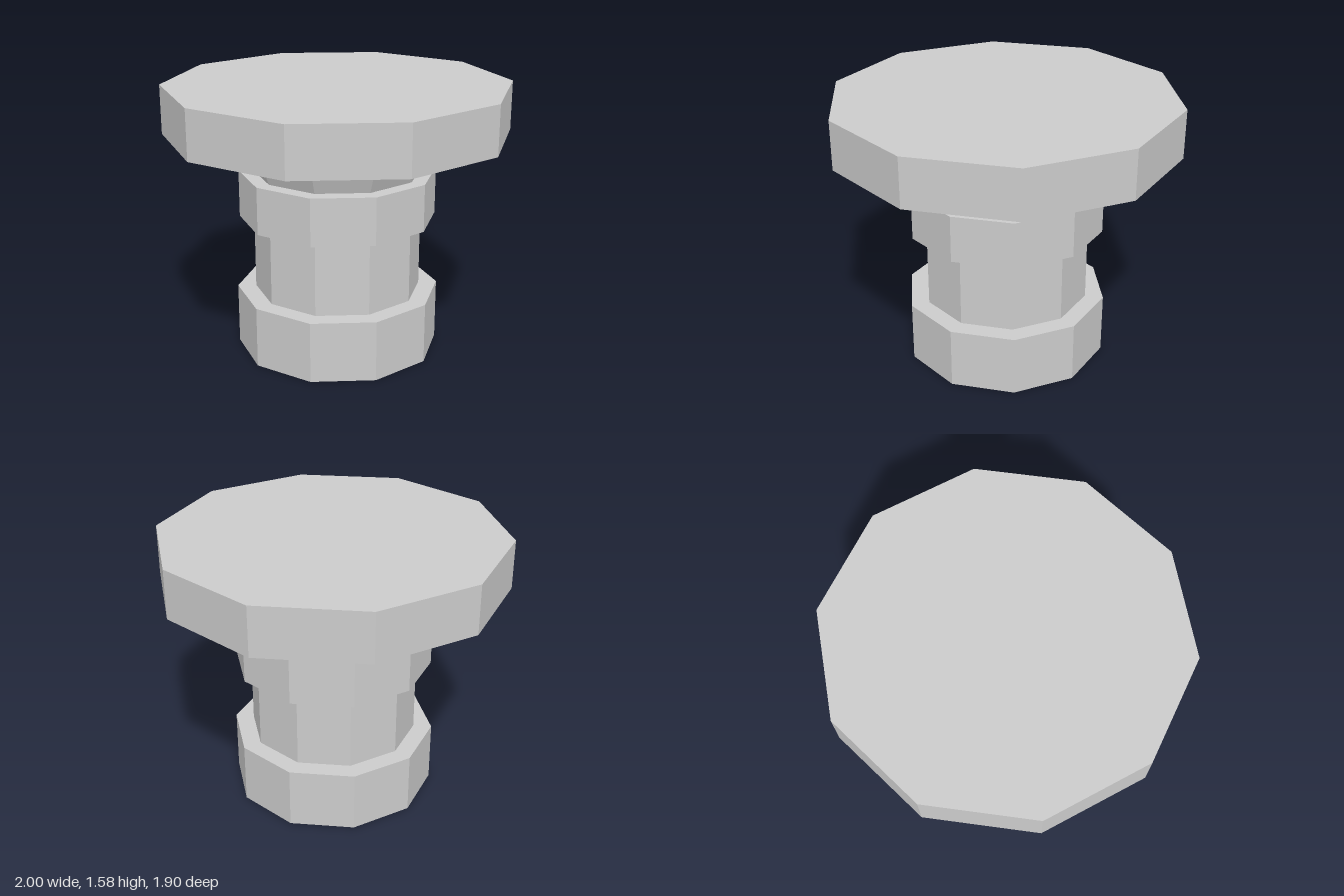
import * as THREE from 'three';

const SIDES = 10;

export function createModel() {
  const group = new THREE.Group();
  group.name = 'pedestal';
  const material = new THREE.MeshStandardMaterial({ color: 0xcccccc, flatShading: true });

  // Ten-sided solid turned from a [radius, height] outline, bottom to top, corners on the x axis
  const addTurned = (name, outline) => {
    const points = outline.map(([r, y]) => new THREE.Vector2(r, y));
    const geometry = new THREE.LatheGeometry(points, SIDES, Math.PI / 2).toNonIndexed();
    geometry.computeVertexNormals();
    const mesh = new THREE.Mesh(geometry, material);
    mesh.name = name;
    group.add(mesh);
  };

  // Closed drum or frustum between two heights
  const addDrum = (name, y0, y1, r0, r1 = r0) =>
    addTurned(name, [[0, y0], [r0, y0], [r1, y1], [0, y1]]);

  addDrum('base', 0, 0.358, 0.597);
  addDrum('column', 0.358, 0.8, 0.489);
  addDrum('collar', 0.8, 1.076, 0.574);

  // Neck flares out into the slab, whose underside rises slightly to its rim
  addDrum('neck', 1.076, 1.284, 0.489, 0.575);
  addTurned('topSlab', [[0, 1.284], [0.575, 1.284], [1, 1.3], [1, 1.584], [0, 1.584]]);

  return group;
}
